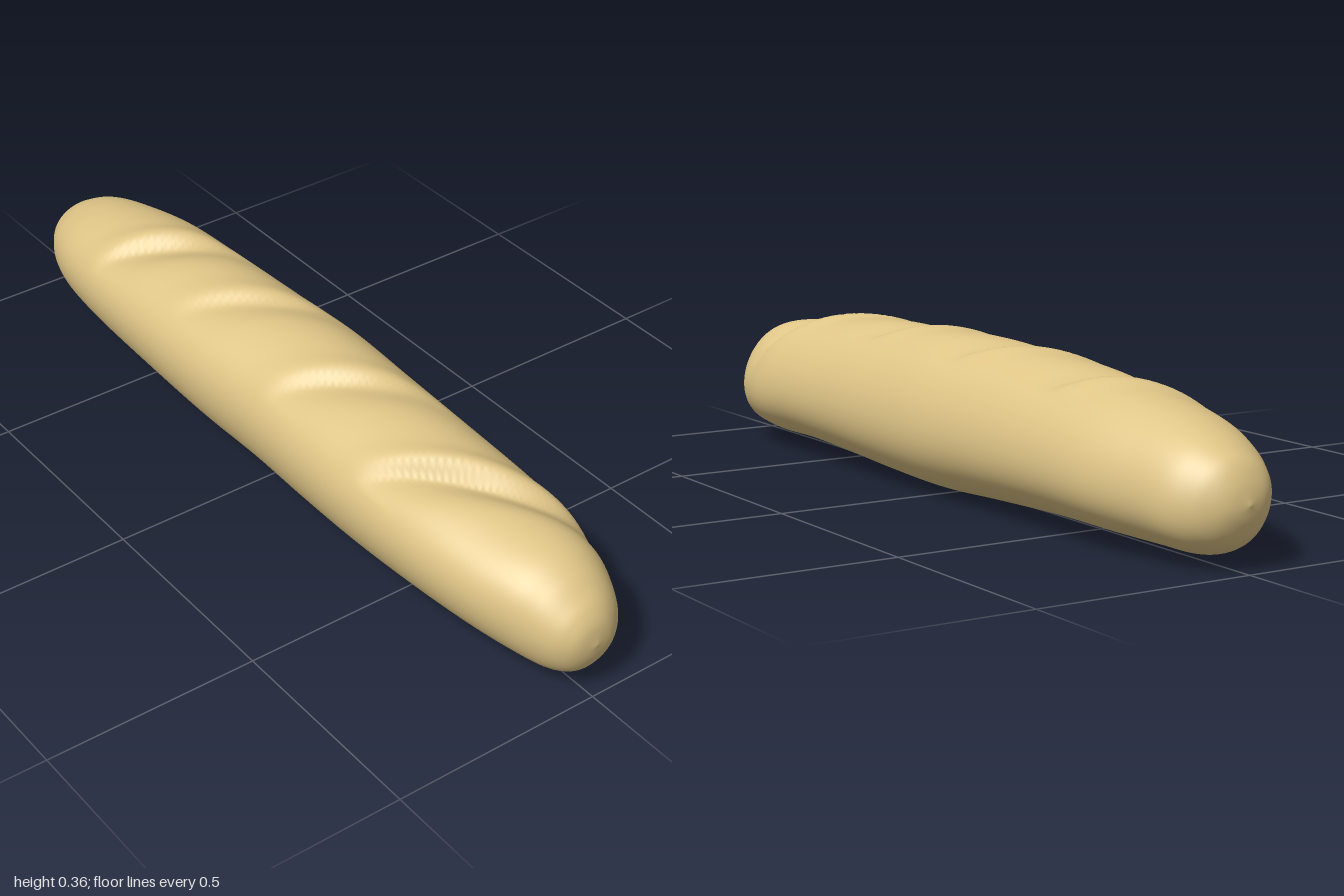
import * as THREE from 'three';
import { mergeVertices } from 'three/addons/utils/BufferGeometryUtils.js';

// Stations along the loaf: x, top y, bottom y, back z, front z
const STATIONS = [
  [-1, 0.14, 0.14, 0, 0],
  [-0.99, 0.185, 0.1, -0.045, 0.045],
  [-0.97, 0.222, 0.062, -0.08, 0.075],
  [-0.94, 0.245, 0.038, -0.11, 0.097],
  [-0.89, 0.27, 0.024, -0.138, 0.122],
  [-0.8, 0.297, 0.022, -0.157, 0.15],
  [-0.65, 0.322, 0.022, -0.182, 0.174],
  [-0.45, 0.342, 0.019, -0.184, 0.186],
  [-0.2, 0.357, 0.009, -0.188, 0.19],
  [0, 0.362, 0.002, -0.196, 0.183],
  [0.2, 0.356, 0.005, -0.191, 0.188],
  [0.4, 0.349, 0.013, -0.185, 0.191],
  [0.6, 0.334, 0.022, -0.182, 0.182],
  [0.75, 0.314, 0.022, -0.176, 0.16],
  [0.85, 0.296, 0.023, -0.15, 0.133],
  [0.91, 0.27, 0.026, -0.125, 0.108],
  [0.95, 0.24, 0.042, -0.102, 0.088],
  [0.975, 0.216, 0.065, -0.075, 0.068],
  [0.992, 0.185, 0.1, -0.045, 0.042],
  [1, 0.14, 0.14, 0, 0],
];

// Slashes in plan: front end x, z; back end x, z; depth
const SLASHES = [
  [-0.63, 0.16, -0.44, -0.12, 0.028],
  [-0.3, 0.15, -0.06, -0.13, 0.017],
  [0.08, 0.16, 0.32, -0.11, 0.02],
  [0.43, 0.17, 0.8, -0.17, 0.033],
];

// How far the crust sinks at a point; each cut has a steep raised lip and a gentle far side
function slashDepth(x, z) {
  let sum = 0;
  for (const [x0, z0, x1, z1, depth] of SLASHES) {
    const t = (z - z0) / (z1 - z0);
    if (t <= 0 || t >= 1) continue;
    const d = x - (x0 + (x1 - x0) * t);
    const cut = Math.exp(-((d / (d < 0 ? 0.022 : 0.08)) ** 2));
    const lip = 0.3 * Math.exp(-(((d + 0.06) / 0.04) ** 2));
    sum += depth * Math.sin(Math.PI * t) ** 0.8 * (cut - lip);
  }
  return sum;
}

function loafGeometry(rings = 300, sides = 96) {
  const curve = (a, b) => new THREE.CatmullRomCurve3(
    STATIONS.map(s => new THREE.Vector3(s[0], s[a], s[b])), false, 'catmullrom');
  const heights = curve(1, 2), widths = curve(3, 4);
  const positions = [], index = [];
  for (let i = 0; i <= rings; i++) {
    const h = heights.getPoint(i / rings), w = widths.getPoint(i / rings);
    const midY = (h.y + h.z) / 2, radiusY = (h.y - h.z) / 2;
    const midZ = (w.y + w.z) / 2, radiusZ = (w.z - w.y) / 2;
    for (let j = 0; j < sides; j++) {
      const a = (j / sides) * Math.PI * 2;
      const c = Math.cos(a), s = Math.sin(a);
      const z = midZ + radiusZ * c;
      const sink = s > 0 ? slashDepth(h.x, z) * Math.min(1, s * 2) : 0;
      // The front bulges a little higher than the back
      const y = midY + radiusY * s + 0.1 * radiusZ * c * (1 - s * s);
      positions.push(h.x, y - sink * s, z - sink * c);
      if (i < rings) {
        const k = (j + 1) % sides, p = i * sides, q = p + sides;
        index.push(p + j, q + j, p + k, q + j, q + k, p + k);
      }
    }
  }
  let geometry = new THREE.BufferGeometry();
  geometry.setAttribute('position', new THREE.Float32BufferAttribute(positions, 3));
  geometry.setIndex(index);
  geometry = mergeVertices(geometry, 1e-5);
  geometry.computeVertexNormals();
  return geometry;
}

export function createModel() {
  const group = new THREE.Group();
  group.name = 'breadLoaf';
  const crust = new THREE.MeshStandardMaterial({ color: 0xdec486 });
  crust.name = 'golden crust';
  const loaf = new THREE.Mesh(loafGeometry(), crust);
  loaf.name = 'loaf';
  group.add(loaf);
  return group;
}
